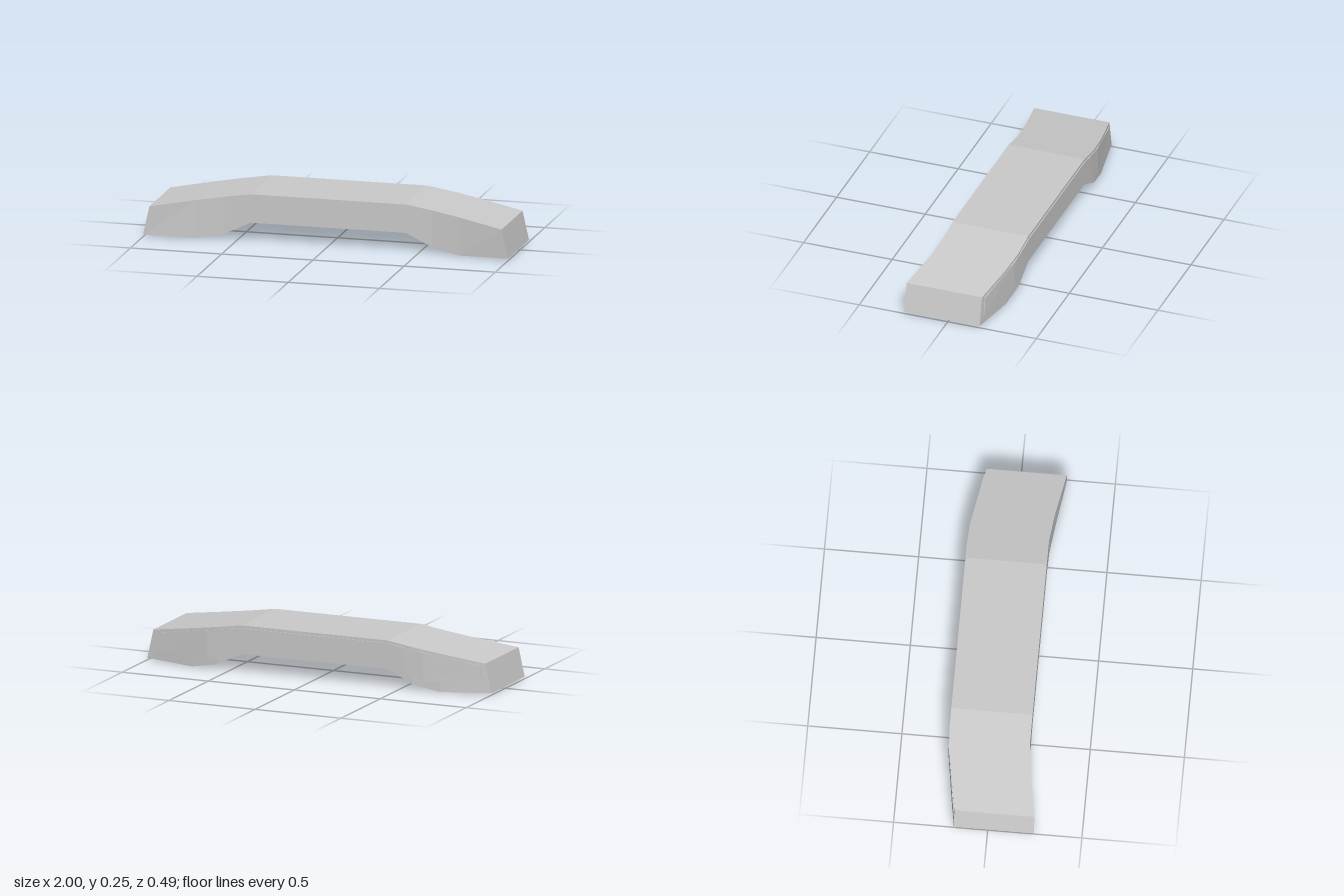
import * as THREE from 'three';

const material = new THREE.MeshStandardMaterial({ color: 0xcccccc, flatShading: true });

// Mirror half a list of stations (inner to outer) so it runs from -x to +x
function mirrorStations(half) {
  const left = half.map(s => ({ ...s, xb: -s.xb, xt: -s.xt })).reverse();
  return [...left, ...half];
}

// Loft four-cornered sections along x and close both ends
function loft(name, stations) {
  const pos = [];
  const quad = (a, b, c, d) => pos.push(...a, ...b, ...c, ...a, ...c, ...d);
  const rings = stations.map(s => [
    [s.xb, s.yb, s.front], [s.xt, s.yt, s.front],
    [s.xt, s.yt, s.back], [s.xb, s.yb, s.back],
  ]);
  for (let i = 0; i < rings.length - 1; i++) {
    const p = rings[i], q = rings[i + 1];
    for (let k = 0; k < 4; k++) {
      const n = (k + 1) % 4;
      quad(p[k], q[k], q[n], p[n]);
    }
  }
  const first = rings[0], last = rings[rings.length - 1];
  quad(first[0], first[1], first[2], first[3]);
  quad(last[3], last[2], last[1], last[0]);

  const geometry = new THREE.BufferGeometry();
  geometry.setAttribute('position', new THREE.Float32BufferAttribute(pos, 3));
  geometry.computeVertexNormals();
  const mesh = new THREE.Mesh(geometry, material);
  mesh.name = name;
  return mesh;
}

export function createModel() {
  const group = new THREE.Group();
  group.name = 'curvedBar';

  // Main bar: raised straight middle, ends dropping down and sweeping forward
  const bar = [
    [0.425, 0.425, 0.1, 0.255, 0.187, -0.24],
    [0.57, 0.57, 0.03, 0.232, 0.187, -0.24],
    [0.72, 0.72, 0, 0.208, 0.203, -0.224],
    [1, 0.965, 0.011, 0.168, 0.245, -0.18],
  ].map(([xb, xt, yb, yt, front, back]) => ({ xb, xt, yb, yt, front, back }));
  group.add(loft('bar', mirrorStations(bar)));

  // Slim panel standing just proud of the rear face
  const panel = [
    [0.42, 0.42, 0.115, 0.24, -0.245],
    [0.52, 0.52, 0.095, 0.226, -0.245],
    [0.63, 0.63, 0.055, 0.208, -0.24],
    [0.955, 0.94, 0.06, 0.155, -0.19],
  ].map(([xb, xt, yb, yt, back]) => ({ xb, xt, yb, yt, back, front: back + 0.03 }));
  group.add(loft('rearPanel', mirrorStations(panel)));

  return group;
}
